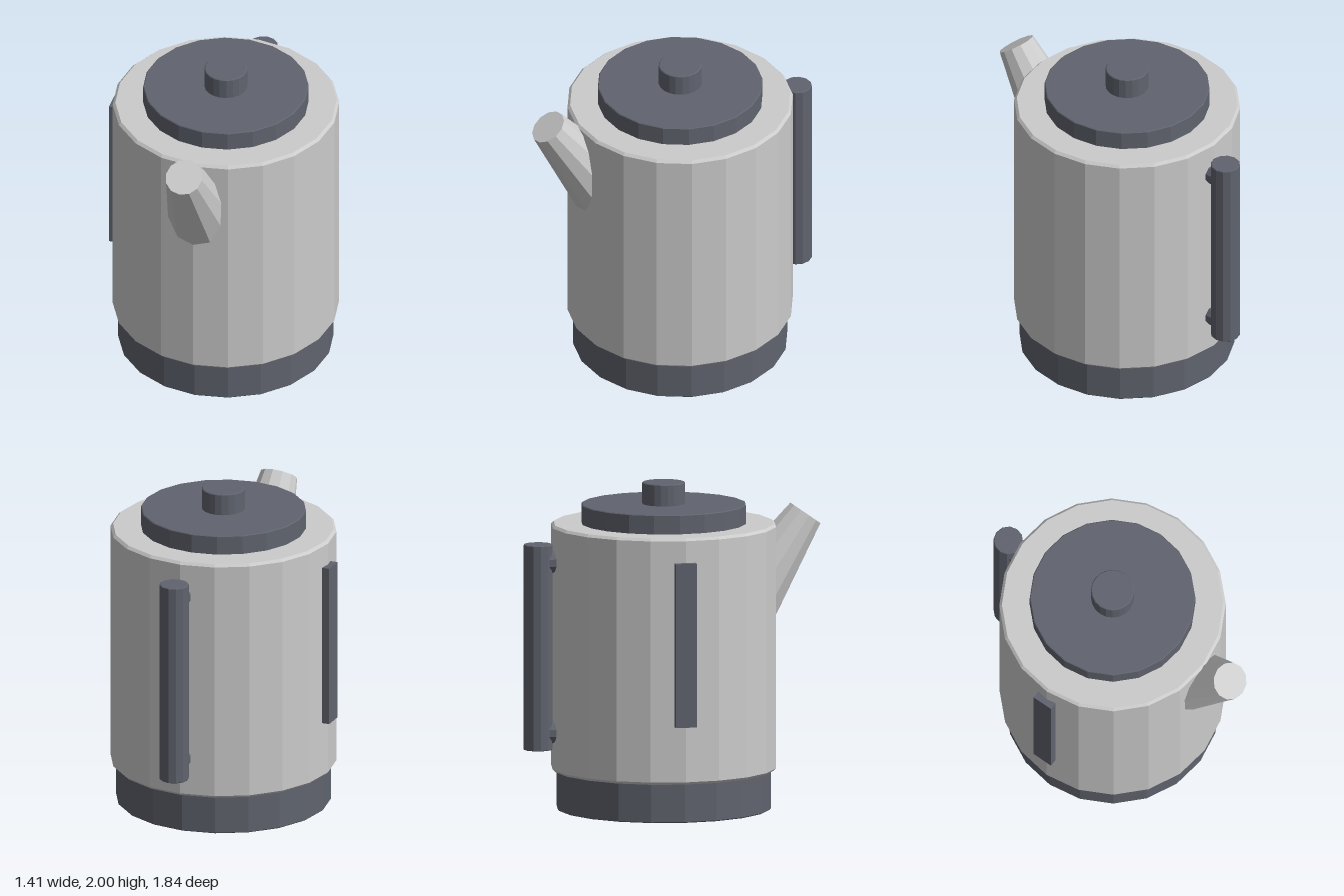
import * as THREE from 'three';

const CX = 0.015, CZ = -0.05; // axis of the kettle body

const grey = new THREE.MeshStandardMaterial({ color: 0xcccccc, flatShading: true });
const dark = new THREE.MeshStandardMaterial({ color: 0x60646e, flatShading: true });

export function createModel() {
  const model = new THREE.Group();

  const add = (name, geometry, material, x, y, z) => {
    const mesh = new THREE.Mesh(geometry, material);
    mesh.name = name;
    mesh.position.set(x, y, z);
    model.add(mesh);
    return mesh;
  };

  // Closed faceted drum with a small bevel on both rims
  const drum = (r, y0, y1, bevel, sides) => new THREE.LatheGeometry([
    [0, y0], [r - bevel, y0], [r, y0 + bevel],
    [r, y1 - bevel], [r - bevel, y1], [0, y1],
  ].map(([x, y]) => new THREE.Vector2(x, y)), sides);

  // Base, body, lid and knob stacked on one axis
  add('base', drum(0.655, 0, 0.245, 0.006, 20), dark, CX, 0, CZ);
  add('body', drum(0.688, 0.238, 1.75, 0.016, 20), grey, CX, 0, CZ);
  add('lid', drum(0.503, 1.74, 1.868, 0.005, 20), dark, CX, 0, CZ);
  add('lidKnob', drum(0.131, 1.86, 2, 0.005, 20), dark, CX, 0, CZ);

  // Tapered spout leaning forward, its wide root sunk into the body
  const axis = new THREE.Vector3(0, 0.82, 0.575).normalize();
  const length = 0.64;
  const centre = new THREE.Vector3(CX, 1.785, 0.828).addScaledVector(axis, -length / 2);
  const spout = add('spout', new THREE.CylinderGeometry(0.114, 0.211, length, 12),
    grey, centre.x, centre.y, centre.z);
  spout.quaternion.setFromUnitVectors(new THREE.Vector3(0, 1, 0), axis);

  // Upright handle at the back, held by two short mounts
  add('handle', drum(0.09, 0.38, 1.64, 0.004, 12), dark, CX, 0, -0.828);
  for (const [name, y] of [['upperHandleMount', 1.53], ['lowerHandleMount', 0.485]]) {
    const mount = add(name, new THREE.CylinderGeometry(0.07, 0.07, 0.12, 10), dark, CX, y, -0.74);
    mount.rotation.x = -Math.PI / 2;
  }

  // Water level strip on the right side
  add('levelStrip', new THREE.BoxGeometry(0.08, 1.005, 0.13), dark, -0.67, 1.097, -0.055);

  return model;
}
